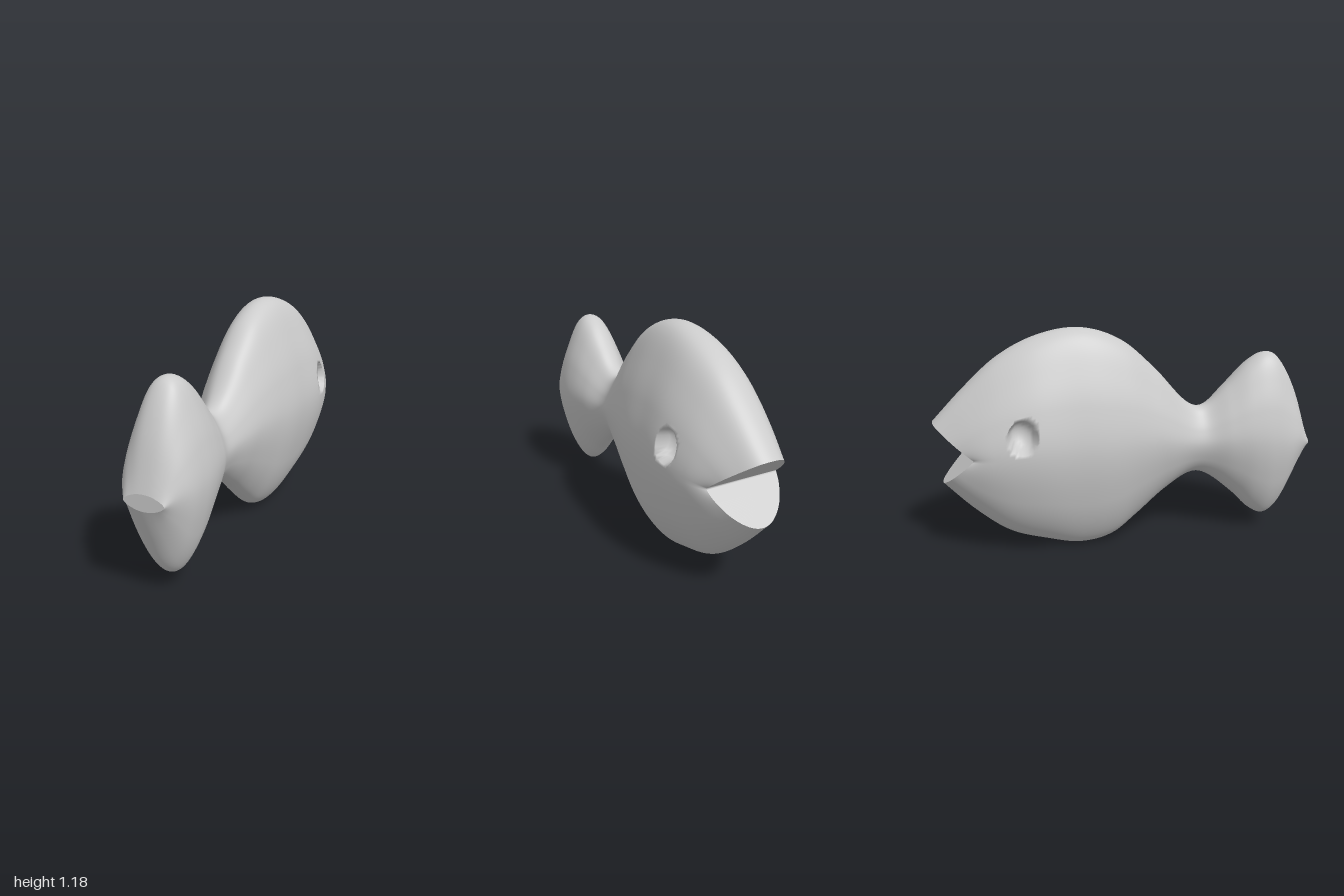
import * as THREE from 'three';

// Smooth curve through [x, y] pairs with rising x
function profile(pairs) {
  const f = new THREE.CubicInterpolant(pairs.map(p => p[0]), pairs.map(p => p[1]), 1, [0]);
  return x => f.evaluate(x)[0];
}

// Outline of the fish along z: nose at -1, tail fin at +1
const top = profile([[-1, 0.735], [-0.84, 0.9], [-0.67, 1.05], [-0.46, 1.155], [-0.23, 1.185], [-0.02, 1.11],
  [0.14, 0.97], [0.35, 0.755], [0.42, 0.75], [0.54, 0.86], [0.66, 0.98], [0.75, 1.025], [0.82, 1.0], [0.93, 0.8], [1, 0.57]]);
const bottom = profile([[-1, 0.41], [-0.83, 0.25], [-0.65, 0.115], [-0.45, 0.045], [-0.26, 0.005], [-0.08, 0.045],
  [0.04, 0.14], [0.2, 0.28], [0.35, 0.37], [0.42, 0.365], [0.6, 0.23], [0.7, 0.13], [0.79, 0.09], [0.86, 0.15], [0.93, 0.31], [1, 0.49]]);
const halfWidth = profile([[-1, 0.19], [-0.75, 0.24], [-0.5, 0.268], [-0.3, 0.255], [-0.15, 0.245], [0, 0.22],
  [0.2, 0.17], [0.34, 0.125], [0.42, 0.12], [0.55, 0.16], [0.68, 0.185], [0.78, 0.187], [0.9, 0.165], [1, 0.1]]);
// Lens-shaped cross-section, from belly (-1) to back (1)
const section = profile([[-1, 0], [-0.71, 0.37], [-0.33, 0.8], [0, 1], [0.25, 0.87], [0.5, 0.61], [0.82, 0.26], [1, 0]]);

const ROWS = 96;   // steps from belly to back
const RINGS = 130; // steps from nose to tail

function surfacePoint(u, row, side) {
  const a = row / ROWS * 2 - 1;
  const t = Math.sin(a * Math.PI / 2);
  const lo = bottom(u), hi = top(u);
  let x = halfWidth(u) * Math.max(0, section(a));
  let y = (lo + hi) / 2 + t * (hi - lo) / 2;
  // The head rings bend back in the middle to form the open mouth
  const s = Math.max(0, (-0.5 - u) / 0.5);
  const mouth = t > 0 ? 0.2 * (1 - t) : 0.2 + 0.17 * t;
  let z = u + (t > 0 ? mouth : Math.max(mouth, 0.03)) * s * s;
  // Eye socket: snap vertices to the rim, sink those inside
  const ey = (y - 0.695) / 0.085, ez = (z + 0.56) / 0.075;
  let d = Math.hypot(ey, ez);
  if (Math.abs(d - 1) < 0.1) {
    y = 0.695 + 0.085 * ey / d;
    z = -0.56 + 0.075 * ez / d;
    d = 1;
  }
  if (d < 1) x -= 0.085 * Math.sqrt(1 - d * d);
  return [side * x, y, z];
}

function build(positions, indices) {
  const g = new THREE.BufferGeometry();
  g.setAttribute('position', new THREE.Float32BufferAttribute(positions, 3));
  g.setIndex(indices);
  g.computeVertexNormals();
  return g;
}

// Closed rings: up the left side, down the right side
function skinGeometry() {
  const pos = [], idx = [], n = 2 * ROWS;
  for (let i = 0; i <= RINGS; i++) {
    const u = -1 + 2 * i / RINGS;
    for (let j = 0; j < n; j++) {
      pos.push(...(j <= ROWS ? surfacePoint(u, j, 1) : surfacePoint(u, n - j, -1)));
    }
  }
  for (let i = 0; i < RINGS; i++) {
    for (let j = 0; j < n; j++) {
      const a = i * n + j, b = i * n + (j + 1) % n;
      idx.push(a, b, a + n, b, b + n, a + n);
    }
  }
  return build(pos, idx);
}

// Strip joining the left and right edges of an end ring
function capGeometry(u) {
  const pos = [], idx = [];
  for (let k = 0; k <= ROWS; k++) {
    pos.push(...surfacePoint(u, k, -1), ...surfacePoint(u, k, 1));
    if (k === ROWS) break;
    const r = 2 * k, l = r + 1;
    if (u < 0) idx.push(r, r + 2, l, l, r + 2, l + 2);
    else idx.push(r, l, r + 2, l, l + 2, r + 2);
  }
  return build(pos, idx);
}

export function createModel() {
  const fish = new THREE.Group();
  fish.name = 'fish';
  const material = new THREE.MeshStandardMaterial({ color: 0xcccccc });
  const add = (name, geometry) => {
    const mesh = new THREE.Mesh(geometry, material);
    mesh.name = name;
    fish.add(mesh);
  };
  add('bodyAndTail', skinGeometry());
  add('mouth', capGeometry(-1));
  add('tailEnd', capGeometry(1));
  return fish;
}
